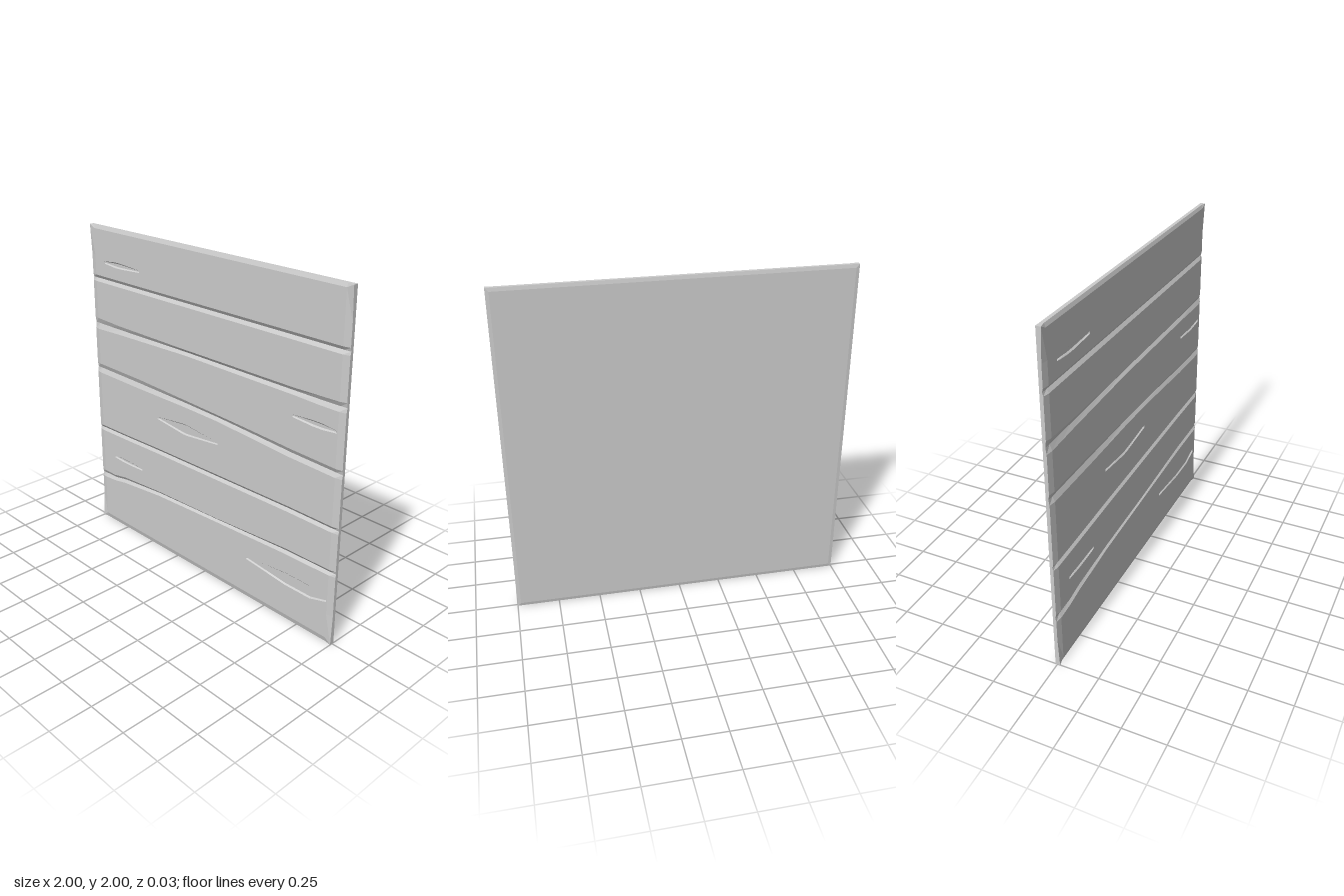
import * as THREE from 'three';
import { mergeGeometries } from 'three/addons/utils/BufferGeometryUtils.js';

const FACE = 0.016, EDGE = 0.008, FLOOR = 0.003, SIDE = 0.96;
const XS = [-1, -0.96, -0.86, -0.75, -0.57, -0.41, -0.16, 0.1, 0.35, 0.66, 0.84, 0.96, 1];

// Grooves from bottom to top: [x, lower lip, upper lip]
const GROOVES = [
  [[-1, 0.305, 0.355], [-0.86, 0.315, 0.355], [-0.75, 0.335, 0.375], [-0.41, 0.37, 0.4], [0.1, 0.395, 0.42], [0.66, 0.42, 0.455], [1, 0.425, 0.46]],
  [[-1, 0.65, 0.685], [-0.75, 0.655, 0.69], [-0.41, 0.665, 0.7], [0.66, 0.685, 0.72], [1, 0.685, 0.72]],
  [[-1, 1.055, 1.115], [-0.57, 1.05, 1.11], [-0.16, 1.05, 1.095], [0.1, 1.045, 1.085], [0.35, 1.03, 1.075], [0.66, 1.01, 1.06], [1, 1, 1.05]],
  [[-1, 1.345, 1.42], [-0.75, 1.355, 1.41], [-0.16, 1.37, 1.405], [0.66, 1.365, 1.405], [0.84, 1.36, 1.41], [1, 1.36, 1.415]],
  [[-1, 1.655, 1.695], [1, 1.655, 1.695]],
];

// Carved knots: plank index, left end, two widest points, right end, centre height, half height
const KNOTS = [
  [0, 0.355, 0.66, 0.84, 0.955, 0.262, 0.04],
  [1, -0.855, -0.76, -0.7, -0.57, 0.496, 0.013],
  [2, -0.41, -0.18, -0.14, 0.115, 0.907, 0.034],
  [3, 0.66, 0.8, 0.86, 0.955, 1.25, 0.017],
  [5, -0.875, -0.77, -0.72, -0.545, 1.785, 0.017],
];

const v = (x, y, z) => new THREE.Vector3(x, y, z);

function sample(table, x, k) {
  const i = Math.max(1, table.findIndex(r => r[0] >= x));
  const a = table[i - 1], b = table[i];
  return THREE.MathUtils.lerp(a[k], b[k], (x - a[0]) / (b[0] - a[0]));
}

// Band of quads between two rows of points
function strip(A, B) {
  const pos = [];
  for (let i = 0; i + 1 < A.length; i++) {
    for (const p of [A[i], A[i + 1], B[i + 1], A[i], B[i + 1], B[i]]) pos.push(p.x, p.y, p.z);
  }
  const g = new THREE.BufferGeometry();
  g.setAttribute('position', new THREE.Float32BufferAttribute(pos, 3));
  return g;
}

function flat(points, z, holes = []) {
  const shape = new THREE.Shape(points.map(p => new THREE.Vector2(p.x, p.y)));
  shape.holes = holes.map(h => new THREE.Path(h.map(p => new THREE.Vector2(p.x, p.y))));
  const g = new THREE.ShapeGeometry(shape).toNonIndexed().translate(0, 0, z);
  g.deleteAttribute('uv');
  g.deleteAttribute('normal');
  return g;
}

const closed = loop => [...loop, loop[0]];

// Counter-clockwise lozenge with blunt ends
function knotLoop([, l, p, q, r, cy, h], inset, z) {
  const end = 0.007 - inset * 0.5, mid = h - inset;
  const xs = [l + inset, p, q, r - inset], hs = [end, mid, mid, end];
  return [
    ...xs.map((x, i) => v(x, cy - hs[i], z)),
    ...xs.map((x, i) => v(x, cy + hs[i], z)).reverse(),
  ];
}

export function createModel() {
  const group = new THREE.Group();
  const material = new THREE.MeshStandardMaterial({ color: 0xcccccc, flatShading: true });
  const add = (name, parts) => {
    const g = mergeGeometries(parts);
    g.computeVertexNormals();
    const mesh = new THREE.Mesh(g, material);
    mesh.name = name;
    group.add(mesh);
  };

  const count = GROOVES.length + 1;
  // Face edge of a plank; the outermost edges stop at the side bevels
  const lip = (i, x, upper) => {
    const border = upper ? i === count - 1 : i === 0;
    if (border) return v(THREE.MathUtils.clamp(x, -SIDE, SIDE), upper ? 1.98 : 0.03, FACE);
    const y = upper ? sample(GROOVES[i], x, 1) : sample(GROOVES[i - 1], x, 2);
    return v(x, y, Math.abs(x) === 1 ? EDGE : FACE);
  };
  // Centre line of groove b, or the panel's bottom and top edges
  const seam = (b, x) => {
    if (b === 0 || b === count) return v(x, b ? 2 : 0, Math.abs(x) === 1 ? FACE : EDGE);
    const t = GROOVES[b - 1];
    return v(x, (sample(t, x, 1) + sample(t, x, 2)) / 2, FLOOR);
  };
  // Points up one side of a plank, inner face edge and outer bevel edge
  const sidePoints = (i, s) => {
    const inner = [lip(i, s * SIDE, false), lip(i, s * SIDE, true)];
    const outer = [
      i === 0 ? seam(0, s) : lip(i, s, false),
      i === count - 1 ? seam(count, s) : lip(i, s, true),
    ];
    const y = i === 0 ? 0.18 : i === count - 1 ? 1.82 : null;
    if (y !== null) {
      inner.splice(1, 0, v(s * SIDE, y, FACE));
      outer.splice(1, 0, v(s, y, EDGE));
    }
    return { inner, outer };
  };

  const rightEdge = [], leftEdge = [];
  const inside = XS.filter(x => Math.abs(x) <= SIDE);
  for (let i = 0; i < count; i++) {
    const knots = KNOTS.filter(k => k[0] === i);
    const R = sidePoints(i, 1), L = sidePoints(i, -1);
    const outline = [
      ...inside.map(x => lip(i, x, false)),
      ...inside.map(x => lip(i, x, true)).reverse(),
    ];
    // Plank face, sloped long edges and side bevels
    add('plank' + (i + 1), [
      flat(outline, FACE, knots.map(k => knotLoop(k, 0, FACE))),
      strip(XS.map(x => seam(i, x)), XS.map(x => lip(i, x, false))),
      strip(XS.map(x => lip(i, x, true)), XS.map(x => seam(i + 1, x))),
      strip(R.outer, R.inner),
      strip([...L.outer].reverse(), [...L.inner].reverse()),
    ]);
    // Carved knots
    for (const k of knots) {
      const floor = knotLoop(k, 0.008, EDGE);
      add('knot', [strip(closed(knotLoop(k, 0, FACE)), closed(floor)), flat(floor, EDGE)]);
    }
    rightEdge.push(...R.outer);
    leftEdge.push(...L.outer);
    if (i < count - 1) {
      rightEdge.push(seam(i + 1, 1));
      leftEdge.push(seam(i + 1, -1));
    }
  }

  // Outer rim
  const rim = closed([
    ...inside.map(x => seam(0, x)),
    ...rightEdge,
    ...inside.map(x => seam(count, x)).reverse(),
    ...leftEdge.reverse(),
  ]);
  add('rim', [strip(rim.map(p => v(p.x, p.y, -0.012)), rim)]);

  // Back with a narrow bevel
  const rect = (d, z) => [v(-1 + d, d, z), v(1 - d, d, z), v(1 - d, 2 - d, z), v(-1 + d, 2 - d, z)];
  const back = rect(0.02, -0.016);
  add('back', [
    strip(closed(back), closed(rect(0, -0.012))),
    flat(back, 0).rotateY(Math.PI).translate(0, 0, -0.016),
  ]);
  return group;
}
